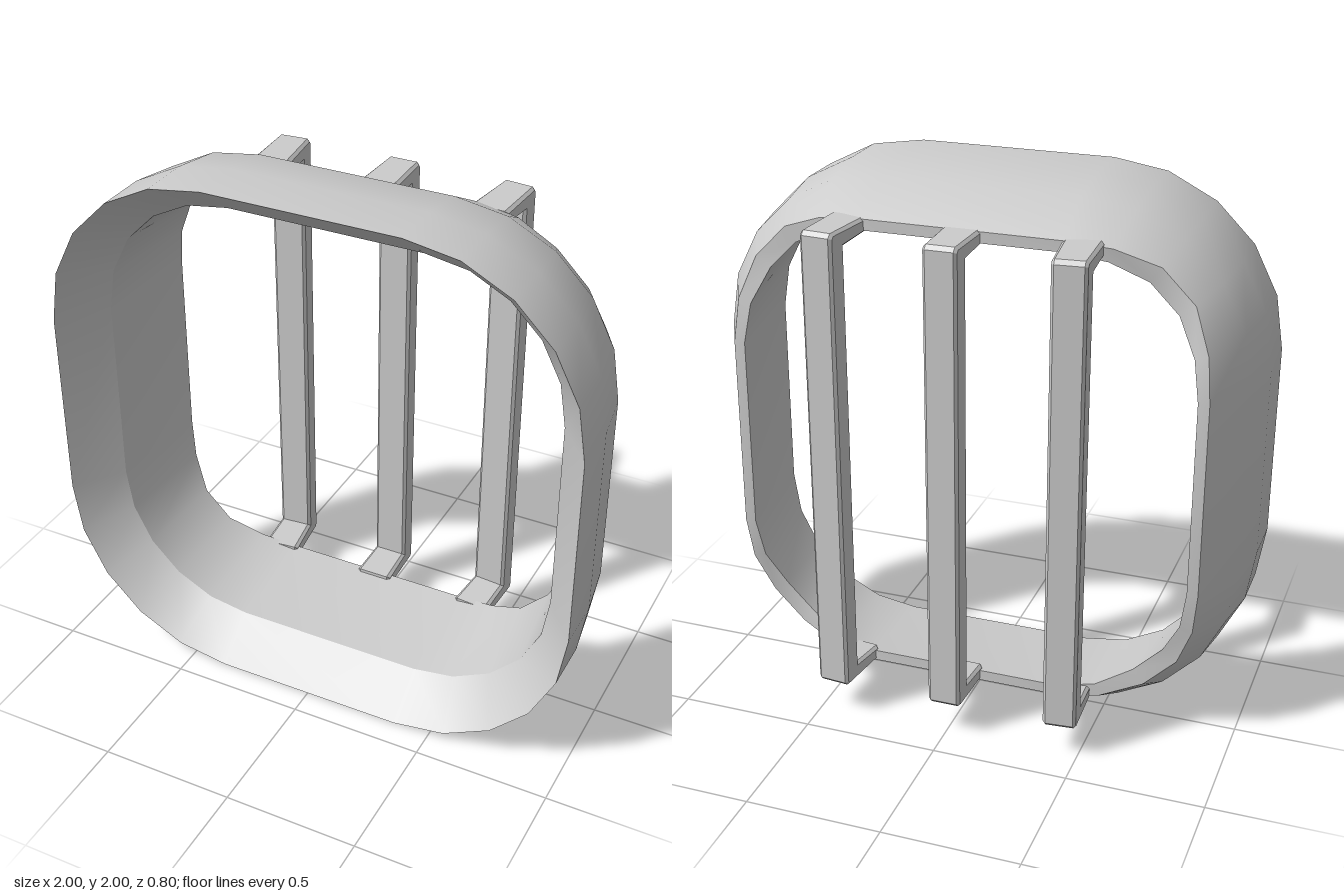
import * as THREE from 'three';
import { toCreasedNormals } from 'three/addons/utils/BufferGeometryUtils.js';

const STRAIGHT = 0.36; // half length of each straight side
const STEPS = 5;       // segments per rounded corner

// Rounded-square ring lofted from a closed cross-section; the rear rim dips at the corners
function frameGeometry() {
  const dips = [0, 0.02, 0.06, 0.06, 0.02, 0];
  const section = dip => [ // [corner radius, z]
    [0.64, 0.4], [0.64, 0.2], [0.61, 0],
    [0.51 + dip * 0.45, -0.19 + dip], [0.47, -0.19 + dip],
    [0.51, 0.23],
  ];
  const positions = [], index = [];
  const n = section(0).length, rings = 4 * (STEPS + 1);
  for (let q = 0; q < 4; q++) {
    const mid = Math.PI / 4 + q * Math.PI / 2;
    const cx = Math.sign(Math.cos(mid)) * STRAIGHT;
    const cy = Math.sign(Math.sin(mid)) * STRAIGHT;
    for (let i = 0; i <= STEPS; i++) {
      const a = (q + i / STEPS) * Math.PI / 2;
      for (const [r, z] of section(dips[i]))
        positions.push(cx + r * Math.cos(a), 1 + cy + r * Math.sin(a), z);
    }
  }
  for (let i = 0; i < rings; i++) {
    const next = (i + 1) % rings;
    for (let j = 0; j < n; j++) {
      const k = (j + 1) % n;
      const a = i * n + j, b = i * n + k, c = next * n + k, d = next * n + j;
      index.push(a, b, c, a, c, d);
    }
  }
  const g = new THREE.BufferGeometry();
  g.setAttribute('position', new THREE.Float32BufferAttribute(positions, 3));
  g.setIndex(index);
  return toCreasedNormals(g, 0.5);
}

// Bracket-shaped bar: a long upright with a tab at each end reaching the frame
function barGeometry(width) {
  const base = -0.03, inner = 0.12, outer = 0.205, ch = 0.015;
  const top = 0.873, under = 0.82;
  const s = new THREE.Shape([
    [base, -top], [outer - ch, -top], [outer, -top + ch],
    [outer, top - ch], [outer - ch, top], [base, top],
    [base, under], [inner, under - 0.01], [inner, -under + 0.01], [base, -under],
  ].map(p => new THREE.Vector2(...p)));
  const bevel = 0.01;
  const g = new THREE.ExtrudeGeometry(s, {
    depth: width - 2 * bevel, bevelEnabled: true, bevelSegments: 1,
    bevelThickness: bevel, bevelSize: bevel, bevelOffset: -bevel,
  });
  g.translate(0, 0, -width / 2 + bevel);
  g.rotateY(Math.PI / 2);
  // tabs widen slightly towards the frame
  const p = g.attributes.position;
  for (let i = 0; i < p.count; i++) {
    const t = Math.max(0, 1 + p.getZ(i) / 0.2);
    p.setX(i, p.getX(i) * (1 + 0.15 * Math.min(t, 1)));
  }
  return toCreasedNormals(g, 0.5);
}

export function createModel() {
  const group = new THREE.Group();
  const material = new THREE.MeshStandardMaterial({ color: 0xcccccc });

  const frame = new THREE.Mesh(frameGeometry(), material);
  frame.name = 'frame';
  group.add(frame);

  // Three rear bars, the outer two splayed outwards
  const bar = barGeometry(0.12);
  [['rightBar', -1], ['middleBar', 0], ['leftBar', 1]].forEach(([name, side]) => {
    const mesh = new THREE.Mesh(bar, material);
    mesh.name = name;
    mesh.position.set(side * 0.42, 1, -0.19);
    mesh.rotation.y = -side * 0.09;
    group.add(mesh);
  });
  return group;
}
